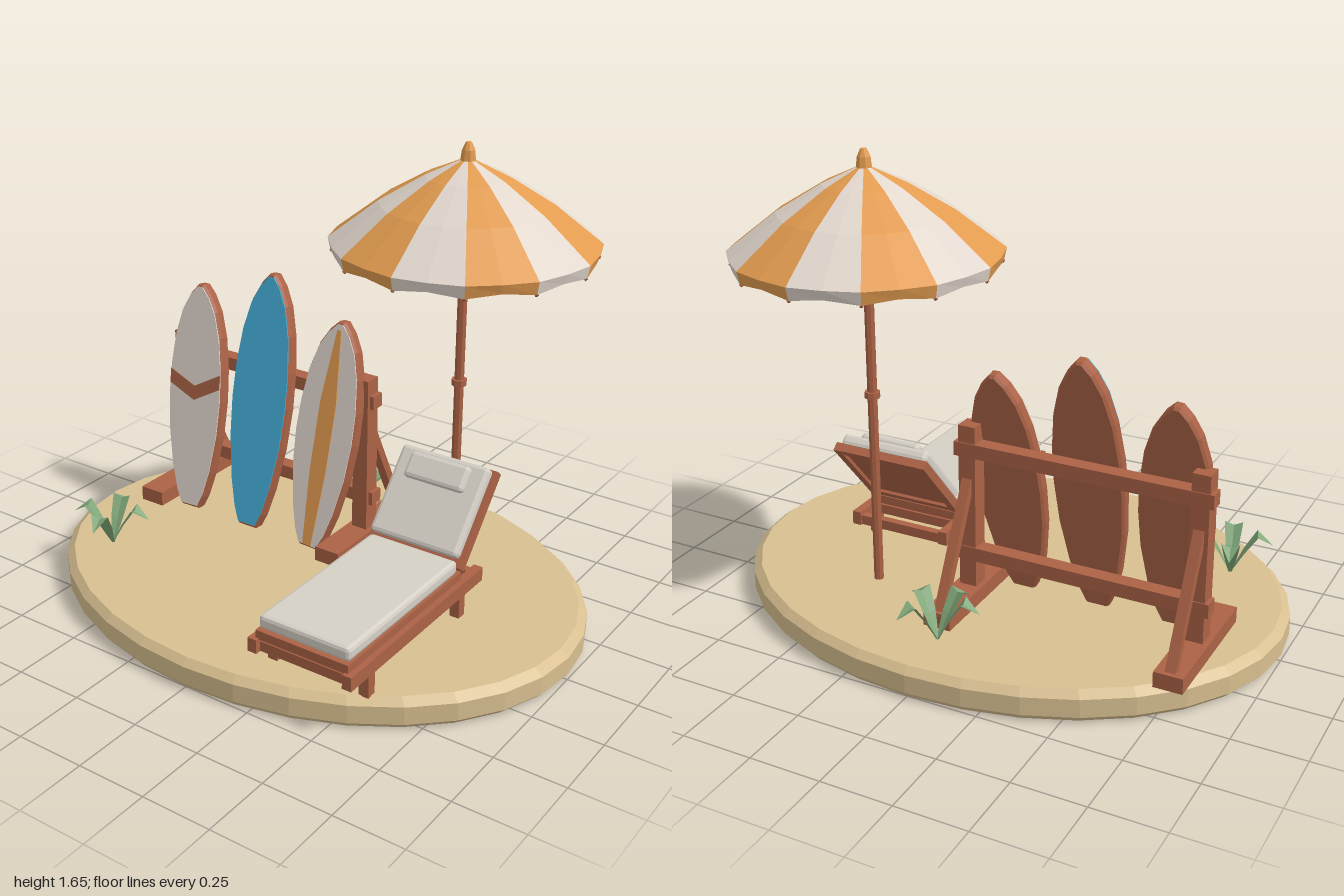
import * as THREE from 'three';
import { RoundedBoxGeometry } from 'three/addons/geometries/RoundedBoxGeometry.js';

const makeMaterial = (name, color, side = THREE.FrontSide) => {
  const m = new THREE.MeshStandardMaterial({ color, flatShading: true, side });
  m.name = name;
  return m;
};

export function createModel() {
  const sand = makeMaterial('sand', 0xd8bf90);
  const wood = makeMaterial('wood', 0xab6245);
  const cream = makeMaterial('cream', 0xe2d7cd, THREE.DoubleSide);
  const orange = makeMaterial('orange', 0xe39c50, THREE.DoubleSide);
  const blue = makeMaterial('blue', 0x45b2de);
  const cloth = makeMaterial('cushion cloth', 0xd6d0c6);
  const green = makeMaterial('leaf green', 0x7fa678, THREE.DoubleSide);

  const model = new THREE.Group();
  const GROUND = 0.11;

  const add = (parent, name, geometry, material, x = 0, y = 0, z = 0) => {
    const mesh = new THREE.Mesh(geometry, material);
    mesh.name = name;
    mesh.position.set(x, y, z);
    parent.add(mesh);
    return mesh;
  };
  const box = (parent, name, mat, w, h, d, x, y, z) =>
    add(parent, name, new THREE.BoxGeometry(w, h, d), mat, x, y, z);
  const cushion = (parent, name, w, h, d, r, x, y, z) =>
    add(parent, name, new RoundedBoxGeometry(w, h, d, 1, r), cloth, x, y, z);
  const group = (name, x = 0, y = 0, z = 0) => {
    const g = new THREE.Group();
    g.name = name;
    g.position.set(x, y, z);
    model.add(g);
    return g;
  };
  // Straight bar between two points
  const bar = (parent, name, a, b, w, d, mat) => {
    const mesh = box(parent, name, mat, w, a.distanceTo(b), d, 0, 0, 0);
    mesh.position.copy(a).add(b).multiplyScalar(0.5);
    mesh.quaternion.setFromUnitVectors(new THREE.Vector3(0, 1, 0), b.clone().sub(a).normalize());
    return mesh;
  };
  const V = (x, y, z) => new THREE.Vector3(x, y, z);
  // Non-indexed surface from quads of points
  const quads = (list) => {
    const pts = [];
    for (const [a, b, c, d] of list) pts.push(a, b, c, a, c, d);
    const g = new THREE.BufferGeometry().setFromPoints(pts);
    g.computeVertexNormals();
    return g;
  };

  // Oval sand island
  const island = [[0, 0], [0.98, 0], [1, 0.02], [1, 0.085], [0.97, GROUND], [0, GROUND]];
  const islandMesh = add(model, 'sandIsland',
    new THREE.LatheGeometry(island.map(p => new THREE.Vector2(...p)), 32), sand);
  islandMesh.scale.z = 0.765;

  // Parasol: pole, collar, striped canopy, ribs, finial
  const parasol = group('parasol', 0.385, 0, -0.295);
  add(parasol, 'pole', new THREE.CylinderGeometry(0.017, 0.017, 1.47, 8), wood, 0, 0.845, 0);
  add(parasol, 'poleCollar', new THREE.CylinderGeometry(0.027, 0.027, 0.022, 8), wood, 0, 0.81, 0);
  add(parasol, 'finial', new THREE.CylinderGeometry(0.022, 0.027, 0.04, 8), orange, 0, 1.605, 0);
  add(parasol, 'finialTip', new THREE.CylinderGeometry(0.01, 0.022, 0.025, 8), orange, 0, 1.6375, 0);
  add(parasol, 'hub', new THREE.CylinderGeometry(0.035, 0.035, 0.04, 8), wood, 0, 1.53, 0);
  const profile = [[0.01, 1.597], [0.14, 1.537], [0.29, 1.447], [0.455, 1.318],
    [0.445, 1.285], [0.29, 1.42], [0.14, 1.51], [0.01, 1.57]];
  const canopyPoint = (k, i) => {
    const [r, y] = profile[i];
    const a = k * Math.PI / 12;
    const mid = k % 2 ? 0.985 : 1;
    const dip = i === 4 && k % 2 === 0 ? 0.012 : 0;
    return V(Math.sin(a) * r * mid, y - dip, -Math.cos(a) * r * mid);
  };
  for (let panel = 0; panel < 12; panel++) {
    const list = [];
    for (let k = panel * 2; k < panel * 2 + 2; k++)
      for (let i = 0; i < profile.length - 1; i++)
        list.push([canopyPoint(k, i), canopyPoint(k, i + 1), canopyPoint(k + 1, i + 1), canopyPoint(k + 1, i)]
          .reverse());
    add(parasol, 'canopyPanel', quads(list), panel % 2 ? cream : orange);
    for (let i = 4; i < 7; i++) {
      const drop = V(0, -0.004, 0);
      bar(parasol, 'canopyRib', canopyPoint(panel * 2, i).add(drop),
        canopyPoint(panel * 2, i + 1).add(drop), 0.009, 0.009, wood);
    }
  }

  // Board rack: two A-shaped ends joined by rails
  const rack = group('boardRack');
  for (const x of [-0.79, 0.033]) {
    box(rack, 'rackFoot', wood, 0.1, 0.055, 0.495, x, 0.1375, -0.253);
    box(rack, 'rackPost', wood, 0.062, 0.63, 0.065, x, 0.44, -0.248);
    bar(rack, 'rackBrace', V(x, 0.56, -0.27), V(x, 0.15, -0.475), 0.035, 0.03, wood);
  }
  for (const y of [0.67, 0.288])
    box(rack, 'rackRail', wood, 0.915, 0.05, 0.055, -0.378, y, -0.257);

  // Surfboards: wooden core with a thin coloured deck
  const outline = [[0.04, 0], [0.065, 0.06], [0.093, 0.17], [0.119, 0.34], [0.128, 0.5],
    [0.124, 0.64], [0.108, 0.78], [0.08, 0.89], [0.045, 0.96], [0.012, 1]];
  const shapeOf = (pts) => new THREE.Shape(pts.map(p => new THREE.Vector2(...p)));
  const boardShape = (length, s) => {
    const half = outline.map(([w, t]) => [w * s, ((t - 0.5) * (s < 1 ? 0.975 : 1) + 0.5) * length]);
    return shapeOf([...half, ...half.map(([w, y]) => [-w, y]).reverse()]);
  };
  const plate = (shape, depth) => new THREE.ExtrudeGeometry(shape, { depth, bevelEnabled: false });
  const surfboard = (name, x, length, lean, deck) => {
    const g = group(name, x, GROUND, -0.062);
    g.rotation.set(-0.19, 0, lean);
    add(g, 'boardCore', new THREE.ExtrudeGeometry(boardShape(length, 1), {
      depth: 0.03, bevelThickness: 0.01, bevelSize: 0.008, bevelOffset: -0.008, bevelSegments: 1,
    }), wood, 0, 0, -0.04);
    add(g, 'boardDeck', plate(boardShape(length, 0.94), 0.004), deck);
    return g;
  };
  const chevronBoard = surfboard('chevronSurfboard', -0.652, 0.87, 0.05, cream);
  add(chevronBoard, 'chevron', plate(shapeOf([[-0.117, 0.475], [0, 0.425], [0.118, 0.485],
    [0.118, 0.54], [0, 0.48], [-0.118, 0.53]]), 0.003), wood, 0, 0, 0.004);
  surfboard('blueSurfboard', -0.375, 0.97, 0, blue);
  const stripeBoard = surfboard('stripedSurfboard', -0.095, 0.86, -0.045, cream);
  add(stripeBoard, 'stripe', plate(shapeOf([[-0.018, 0.012], [0.018, 0.012], [0.034, 0.3],
    [0.034, 0.56], [0.008, 0.83], [-0.008, 0.83], [-0.034, 0.56], [-0.034, 0.3]]), 0.003),
  orange, 0, 0, 0.004);

  // Sun lounger
  const lounger = group('sunLounger', 0.412, 0, 0);
  for (const s of [-1, 1]) {
    box(lounger, 'sideRail', wood, 0.034, 0.05, 0.805, s * 0.18, 0.215, 0.292);
    for (const z of [0.575, 0.02])
      box(lounger, 'loungerLeg', wood, 0.036, 0.1, 0.036, s * 0.176, 0.157, z);
  }
  for (const z of [0.66, 0.02, -0.09])
    box(lounger, 'crossBar', wood, 0.35, 0.036, 0.03, 0, 0.21, z);
  box(lounger, 'seatDeck', wood, 0.352, 0.032, 0.68, 0, 0.252, 0.34);
  cushion(lounger, 'seatCushion', 0.345, 0.05, 0.65, 0.014, 0, 0.294, 0.345);

  // Reclined backrest, built upright and tilted back
  const back = new THREE.Group();
  back.name = 'backrest';
  back.position.set(0, 0.27, 0);
  back.rotation.x = -0.72;
  lounger.add(back);
  box(back, 'backPanel', wood, 0.33, 0.33, 0.018, 0, 0.178, 0.021);
  for (const s of [-1, 1]) {
    box(back, 'backSideFrame', wood, 0.03, 0.356, 0.032, s * 0.169, 0.178, 0.016);
    box(back, 'backCrossFrame', wood, 0.31, 0.03, 0.03, 0, 0.178 + s * 0.163, 0.016);
  }
  cushion(back, 'backCushion', 0.345, 0.325, 0.045, 0.014, 0, 0.19, 0.053);
  cushion(back, 'headPillow', 0.235, 0.095, 0.035, 0.014, 0, 0.285, 0.086);

  // Plants: arching folded leaves, sections are [reach, height, half width]
  const sections = [[0, 0, 0.006], [0.045, 0.08, 0.024], [0.09, 0.145, 0.033], [0.145, 0.115, 0.001]];
  const leafRows = sections.map(([r, y, w]) => [V(-w, y + w * 0.4, r), V(0, y, r), V(w, y + w * 0.4, r)]);
  const leafQuads = [];
  for (let i = 0; i < 3; i++)
    for (let j = 0; j < 2; j++)
      leafQuads.push([leafRows[i][j], leafRows[i + 1][j], leafRows[i + 1][j + 1], leafRows[i][j + 1]]);
  const leaf = quads(leafQuads);
  const plant = (x, z, directions) => {
    const g = group('plant', x, GROUND - 0.004, z);
    for (const [dx, dz] of directions)
      add(g, 'leaf', leaf, green).rotation.y = Math.atan2(dx, dz);
  };
  plant(-0.705, 0.315, [[-0.04, -0.14], [0.135, -0.05], [0.04, 0.145], [-0.135, 0.05]]);
  plant(-0.005, -0.56, [[0.08, -0.12], [0.12, 0.06], [-0.05, 0.13], [-0.13, 0.03]]);

  return model;
}
